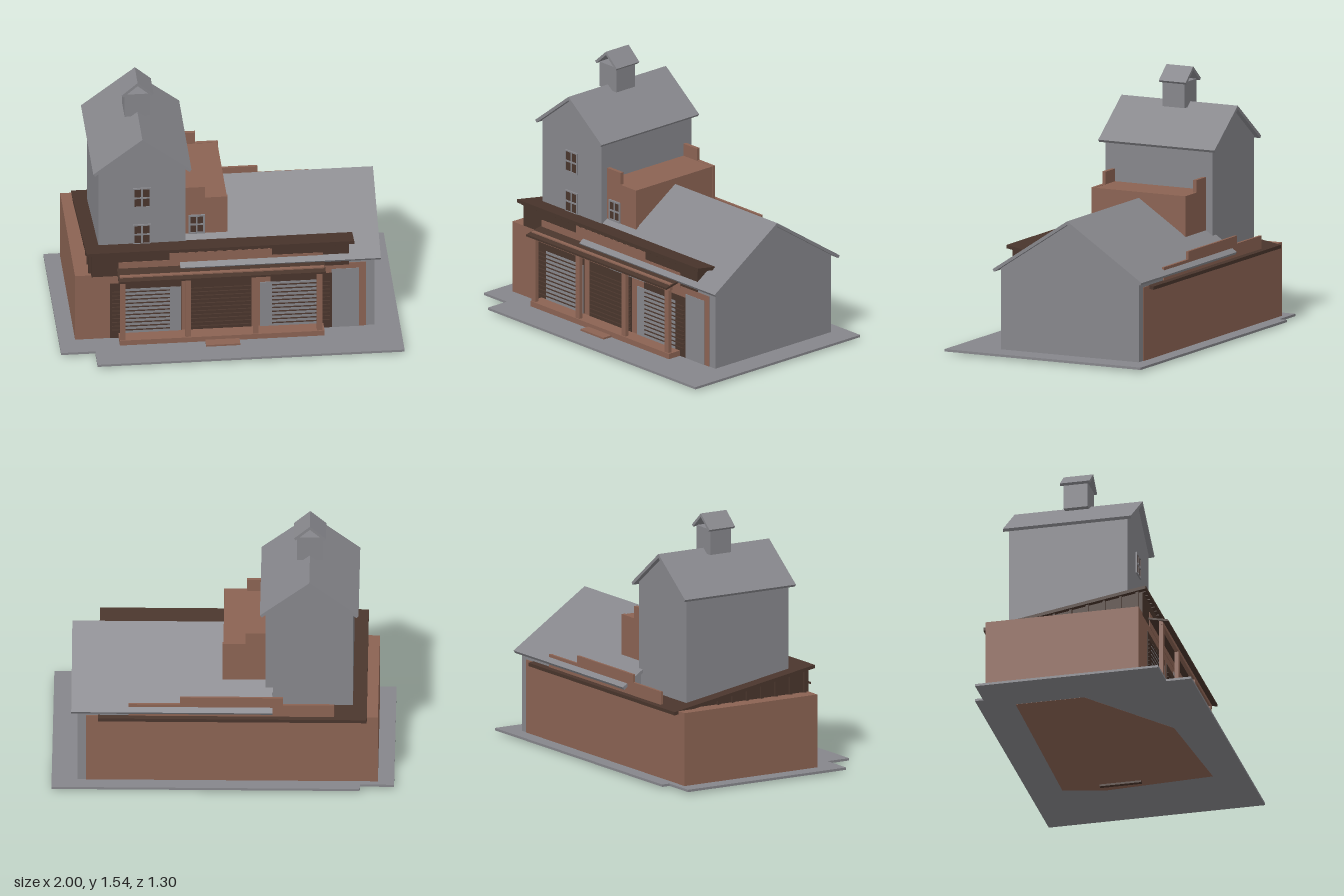
import * as THREE from 'three';

const mat = (name, hex) => {
  const m = new THREE.MeshStandardMaterial({ color: hex });
  m.name = name;
  return m;
};

export function createModel() {
  const root = new THREE.Group();
  root.name = 'grainStore';
  const gray = mat('weathered gray', 0x86868b);
  const brown = mat('brick brown', 0x8b6353);
  const dark = mat('dark timber', 0x49352c);

  const add = (name, geo, m, parent = root) => {
    const mesh = new THREE.Mesh(geo, m);
    mesh.name = name;
    parent.add(mesh);
    return mesh;
  };
  // Box given by its limits on each axis
  const box = (name, m, x0, x1, y0, y1, z0, z1, parent) => {
    const g = new THREE.BoxGeometry(x1 - x0, y1 - y0, z1 - z0);
    g.translate((x0 + x1) / 2, (y0 + y1) / 2, (z0 + z1) / 2);
    return add(name, g, m, parent);
  };
  const shape = (pts) => new THREE.Shape(pts.map(([a, b]) => new THREE.Vector2(a, b)));
  // Profile of (x, y) points run along z
  const alongZ = (name, m, pts, z0, z1) => {
    const g = new THREE.ExtrudeGeometry(shape(pts), { depth: z1 - z0, bevelEnabled: false });
    return add(name, g.translate(0, 0, z0), m);
  };
  // Profile of (z, y) points run along x
  const alongX = (name, m, pts, x0, x1) => {
    const g = new THREE.ExtrudeGeometry(shape(pts.map(([z, y]) => [-z, y])), { depth: x1 - x0, bevelEnabled: false });
    return add(name, g.rotateY(Math.PI / 2).translate(x0, 0, 0), m);
  };
  // Profile of (x, z) points given a height range
  const flat = (name, m, pts, y0, y1) => {
    const g = new THREE.ExtrudeGeometry(shape(pts.map(([x, z]) => [x, -z])), { depth: y1 - y0, bevelEnabled: false });
    return add(name, g.rotateX(-Math.PI / 2).translate(0, y0, 0), m);
  };
  // Roof profile: two boards with square-cut eaves meeting at the ridge
  const chevron = (c, half, eave, ridge, t) => {
    const a = Math.atan2(ridge - eave, half);
    const inner = half - t * Math.sin(a), low = eave - t * Math.cos(a);
    return [
      [c - half, eave], [c, ridge], [c + half, eave],
      [c + inner, low], [c, ridge - t / Math.cos(a)], [c - inner, low],
    ];
  };
  const gable = (c, half, base, eave, ridge) => [
    [c - half, base], [c + half, base], [c + half, eave], [c, ridge], [c - half, eave],
  ];

  // Ground slab with notched left end, and the pieces under it
  flat('groundSlab', gray, [[-0.8, -0.65], [1, -0.65], [1, 0.65], [-0.8, 0.65], [-0.8, 0.5], [-1, 0.5], [-1, -0.6], [-0.8, -0.6]], 0.013, 0.027);
  flat('underside', brown, [[-0.7, -0.43], [0.52, -0.45], [0.58, -0.2], [0.54, 0.45], [-0.16, 0.39], [-0.7, -0.02]], 0.0122, 0.014);
  box('undersideBar', dark, 0.49, 0.515, 0, 0.0135, -0.22, 0.03);

  // Low brick warehouse
  box('warehouseWalls', brown, -0.905, 0.8, 0.02, 0.463, -0.562, 0.36);

  // Dark clerestory wedge with its sloping roof
  const shedY = (z) => 0.625 + (z - 0.385) * 0.169;
  alongX('clerestory', dark, [[-0.54, 0.45], [0.36, 0.45], [0.36, shedY(0.36) - 0.015], [-0.54, shedY(-0.54) - 0.015]], -0.81, 0.7);
  alongX('shedRoof', dark, [[-0.59, shedY(-0.59)], [0.385, shedY(0.385)], [0.385, shedY(0.385) - 0.02], [-0.59, shedY(-0.59) - 0.02]], -0.84, 0.73);
  for (let i = 0; i < 7; i++) {
    const z = 0.33 - i * 0.1;
    box('sideBatten', dark, -0.825, -0.805, 0.455, shedY(z) - 0.015, z - 0.008, z + 0.008);
  }
  for (let i = 0; i < 28; i++) {
    const x = -0.8 + i * 0.055;
    box('rafterTail', dark, x - 0.008, x + 0.008, 0.597, 0.606, 0.345, 0.377);
  }

  // Gabled barn
  alongX('barnWalls', gray, gable(-0.1, 0.457, 0.02, 0.508, 0.809), -0.27, 0.85);
  alongX('barnRoof', gray, chevron(-0.1, 0.494, 0.505, 0.83, 0.018), -0.29, 0.885);

  // Stepped parapets front and back
  for (const [z0, z1] of [[0.35, 0.3625], [-0.563, -0.548]]) {
    alongZ('steppedParapet', brown, [[-0.65, 0.45], [0.55, 0.45], [0.55, 0.543], [0.25, 0.543], [0.25, 0.59], [-0.35, 0.59], [-0.35, 0.543], [-0.65, 0.543]], z0, z1);
  }

  // Tall tower with gable roof
  alongZ('towerWalls', gray, gable(-0.503, 0.255, 0.4, 1.112, 1.308), -0.455, 0.256);
  alongZ('towerRoof', gray, chevron(-0.503, 0.288, 1.108, 1.33, 0.018), -0.485, 0.285);

  // Cupola with open gable roof
  box('cupola', gray, -0.578, -0.428, 1.3, 1.452, -0.172, -0.027);
  alongZ('cupolaRoof', gray, chevron(-0.503, 0.094, 1.455, 1.537, 0.016), -0.19, -0.012);

  // Brick annex beside the tower, with raised parapet corners
  box('annex', brown, -0.256, 0, 0.45, 0.865, -0.405, 0.205);
  for (const [z0, z1] of [[0.19, 0.212], [-0.412, -0.39]]) {
    alongZ('annexParapet', brown, [[-0.256, 0.45], [0.004, 0.45], [0.004, 0.867], [-0.13, 0.867], [-0.13, 0.94], [-0.256, 0.94]], z0, z1);
  }

  // Four-pane windows: dark glass behind a gray frame and crossbars
  const paneWindow = (cx, cy, z, w, h, frame) => {
    const g = new THREE.Group();
    g.name = 'window';
    root.add(g);
    const hw = w / 2, hh = h / 2, bar = 0.005, z1 = z + 0.009;
    box('glass', dark, cx - hw, cx + hw, cy - hh, cy + hh, z - 0.002, z + 0.005, g);
    box('crossbar', gray, cx - hw, cx + hw, cy - bar, cy + bar, z, z1, g);
    box('mullion', gray, cx - bar, cx + bar, cy - hh, cy + hh, z, z1, g);
    for (const s of [-1, 1]) {
      const x = cx + s * (hw + frame / 2), y = cy + s * (hh + frame / 2);
      box('frameSide', gray, x - frame / 2, x + frame / 2, cy - hh - frame, cy + hh + frame, z, z1, g);
      box('frameRail', gray, cx - hw, cx + hw, y - frame / 2, y + frame / 2, z, z1, g);
    }
  };
  paneWindow(-0.503, 0.917, 0.256, 0.09, 0.118, 0.008);
  paneWindow(-0.503, 0.667, 0.256, 0.09, 0.118, 0.008);
  paneWindow(-0.178, 0.69, 0.212, 0.075, 0.105, 0.011);

  // Front openings, gray panels and dark louvres
  for (const [x0, x1] of [[-0.7, -0.28], [-0.235, 0.13], [0.24, 0.6]]) {
    box('darkOpening', dark, x0, x1, 0.026, 0.4, 0.357, 0.363);
  }
  box('wallPanel', gray, 0.6, 0.76, 0.026, 0.425, 0.357, 0.363);
  box('lintelPanel', gray, -0.06, 0.25, 0.4, 0.425, 0.357, 0.363);
  box('shutterPanel', gray, -0.61, -0.285, 0.03, 0.36, 0.36, 0.366);
  box('shutterPanel', gray, 0.18, 0.51, 0.03, 0.36, 0.36, 0.366);
  for (const [x0, x1] of [[-0.69, -0.35], [-0.225, 0.125], [0.25, 0.59]]) {
    for (let i = 0; i < 11; i++) {
      const y = 0.08 + i * 0.026;
      box('louvre', dark, x0, x1, y, y + 0.005, 0.36, 0.373);
    }
  }

  // Porch: deck, step, posts, beam and tilted roof
  box('porchDeck', brown, -0.65, 0.55, 0.025, 0.06, 0.36, 0.45);
  box('porchStep', brown, -0.15, 0.05, 0.024, 0.038, 0.45, 0.51);
  for (const x of [-0.632, -0.25, 0.148, 0.522]) {
    box('porchPost', brown, x - 0.016, x + 0.016, 0.05, 0.47, 0.418, 0.443);
  }
  box('porchBeam', brown, -0.65, 0.55, 0.452, 0.492, 0.42, 0.443);
  alongX('porchRoof', dark, [[0.36, 0.502], [0.475, 0.478], [0.475, 0.466], [0.36, 0.49]], -0.66, 0.555);
  return root;
}
